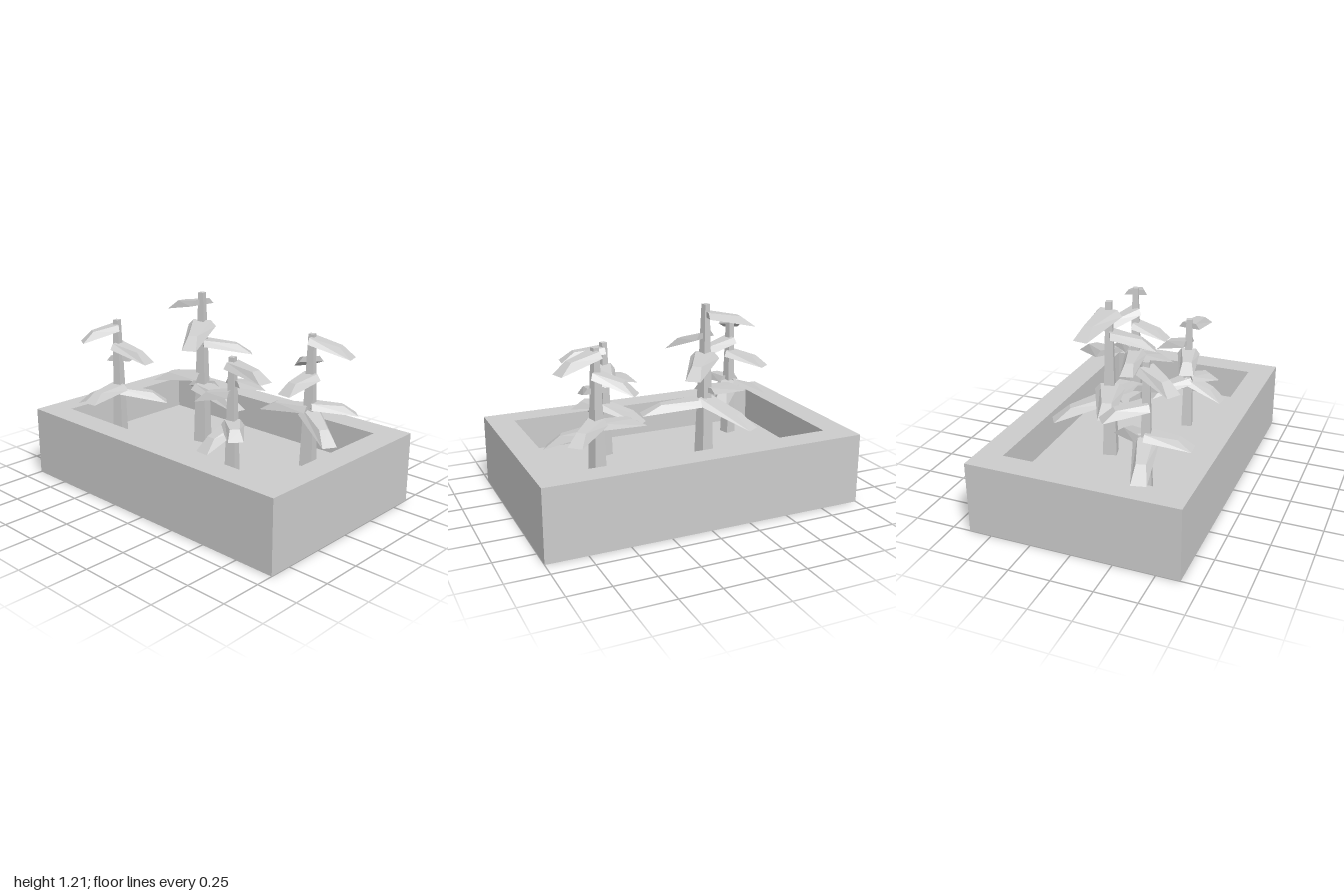
import * as THREE from 'three';

const material = new THREE.MeshStandardMaterial({ color: 0xcccccc, flatShading: true });

function mesh(name, geometry) {
  const m = new THREE.Mesh(geometry, material);
  m.name = name;
  return m;
}

// Open-topped box: rectangular frame extruded upward
function planterFrame(w, d, iw, id, h) {
  const rect = (P, a, b) => new P([[-a, -b], [a, -b], [a, b], [-a, b]].map(p => new THREE.Vector2(...p)));
  const shape = rect(THREE.Shape, w / 2, d / 2);
  shape.holes.push(rect(THREE.Path, iw / 2, id / 2));
  return new THREE.ExtrudeGeometry(shape, { depth: h, bevelEnabled: false }).rotateX(-Math.PI / 2);
}

// Folded leaf along +x from the origin: wide at the stem, pinched at the bend, flared at the tip
function leafGeometry(length, drop, baseWidth) {
  const b = baseWidth / 2, bt = b * 0.64, bend = 0.7;
  const tip = 0.045, pinch = 0.028;
  const p = [
    [0, 0, -b], [0, 0, b],                                                     // stem, lower
    [0, 0.035, -bt], [0, 0.035, bt],                                           // stem, upper
    [length * bend, 0.046 - drop * bend, -pinch], [length * bend, 0.046 - drop * bend, pinch], // bend
    [length, -drop, -tip], [length, -drop, tip],                               // tip
  ];
  const quads = [
    [2, 3, 5, 4], // top strip
    [4, 5, 7, 6], // end slope
    [3, 1, 7, 5], // sides
    [0, 2, 4, 6],
    [0, 6, 7, 1], // underside
    [0, 1, 3, 2], // stem end
  ];
  const pos = [];
  for (const [i, j, k, l] of quads) for (const v of [i, j, k, i, k, l]) pos.push(...p[v]);
  const g = new THREE.BufferGeometry();
  g.setAttribute('position', new THREE.Float32BufferAttribute(pos, 3));
  g.computeVertexNormals();
  return g;
}

const SOIL = 0.23;

// Each leaf: tip x, tip z, stem height, tip height
const plants = [
  { x: -0.59, z: 0.285, top: 1.04, r: 0.05, width: 0.15, leaves: [
    [-0.70, 0.48, 0.98, 0.91], [-0.345, 0.24, 0.86, 0.79], [-0.745, 0.08, 0.77, 0.72],
    [-0.885, 0.355, 0.57, 0.45], [-0.565, 0.55, 0.59, 0.55], [-0.40, 0.05, 0.57, 0.49]] },
  { x: -0.215, z: -0.095, top: 1.21, r: 0.06, width: 0.18, leaves: [
    [-0.52, -0.14, 1.13, 1.06], [-0.09, 0.15, 1.00, 0.90], [-0.015, -0.34, 0.88, 0.81],
    [-0.53, 0.01, 0.66, 0.61], [0.175, -0.015, 0.59, 0.54], [-0.40, -0.39, 0.60, 0.48]] },
  { x: 0.33, z: 0.215, top: 0.96, r: 0.048, width: 0.14, leaves: [
    [0.60, 0.24, 0.90, 0.86], [0.37, 0.01, 0.79, 0.73], [0.11, 0.275, 0.73, 0.67],
    [0.485, 0.355, 0.55, 0.52], [0.15, 0.02, 0.54, 0.47], [0.315, 0.455, 0.54, 0.44]] },
  { x: 0.545, z: -0.235, top: 1.05, r: 0.058, width: 0.15, leaves: [
    [0.79, -0.305, 1.00, 0.93], [0.355, -0.385, 0.88, 0.79], [0.53, 0, 0.78, 0.72],
    [0.745, -0.44, 0.60, 0.55], [0.23, -0.175, 0.58, 0.54], [0.81, -0.085, 0.56, 0.45]] },
];

function buildPlant({ x, z, top, r, width, leaves }) {
  const plant = new THREE.Group();
  plant.name = 'plant';
  plant.position.set(x, 0, z);

  // Square tapering stalk
  const height = top - SOIL;
  const stalk = mesh('stalk', new THREE.CylinderGeometry(0.025, r, height, 4));
  stalk.position.y = SOIL + height / 2;
  stalk.rotation.y = Math.PI / 4 + 0.25;
  plant.add(stalk);

  for (const [tx, tz, y0, y1] of leaves) {
    const dx = tx - x, dz = tz - z;
    const leaf = mesh('leaf', leafGeometry(Math.hypot(dx, dz), y0 - y1, width));
    leaf.position.y = y0;
    leaf.rotation.y = Math.atan2(-dz, dx);
    plant.add(leaf);
  }
  return plant;
}

export function createModel() {
  const model = new THREE.Group();
  model.name = 'planterBox';
  model.add(mesh('planterFrame', planterFrame(2, 1.28, 1.68, 0.97, 0.44)));

  // Soil filling the frame
  const soil = mesh('soil', new THREE.BoxGeometry(1.68, SOIL, 0.97));
  soil.position.y = SOIL / 2;
  model.add(soil);

  for (const p of plants) model.add(buildPlant(p));
  return model;
}
